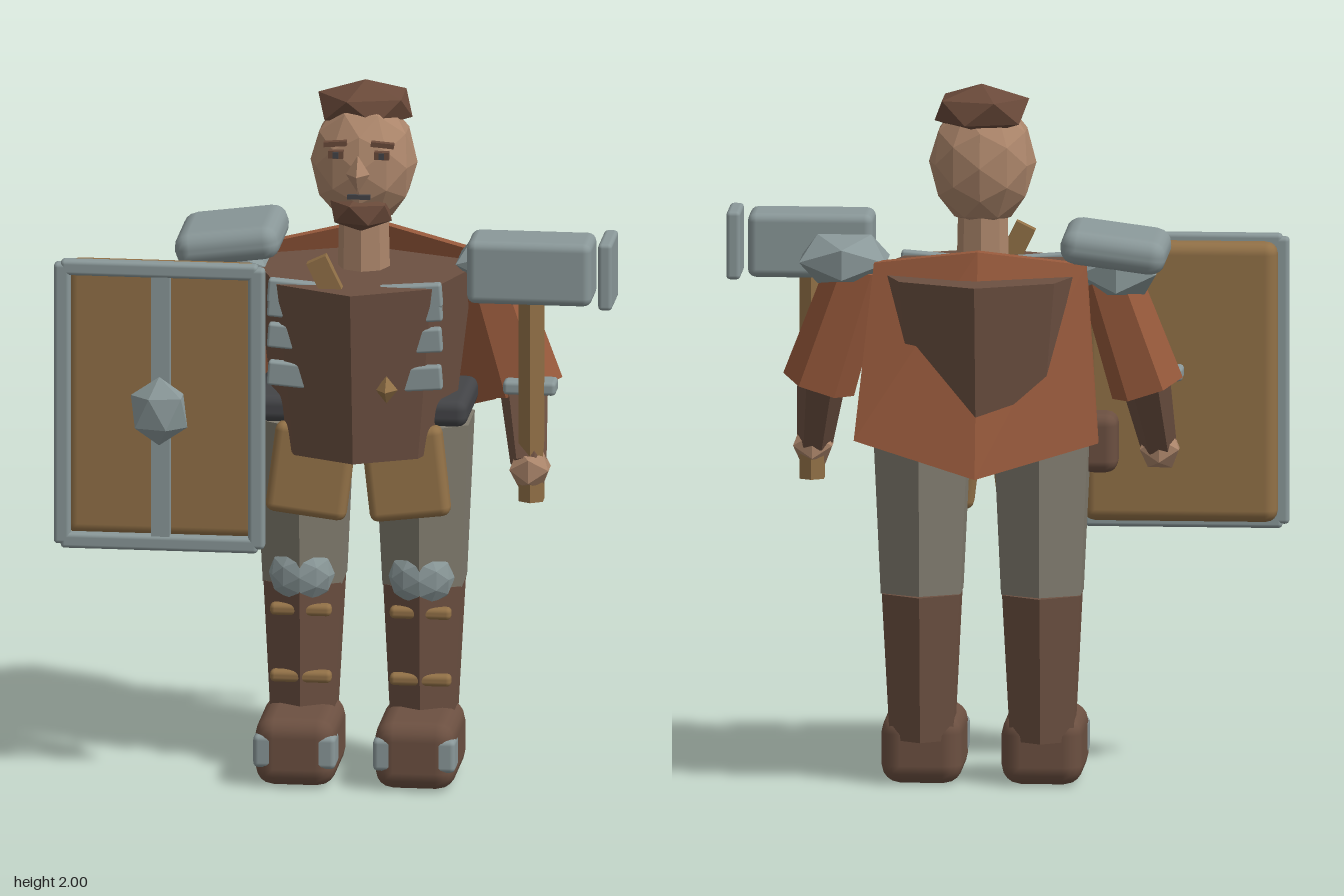
import * as THREE from 'three';
import { RoundedBoxGeometry } from 'three/addons/geometries/RoundedBoxGeometry.js';

const CX = 0.055; // body centre line

export function createModel() {
  const root = new THREE.Group();
  root.name = 'warrior';
  const mat = (name, color) => {
    const m = new THREE.MeshStandardMaterial({ color });
    m.name = name;
    return m;
  };
  const leather = mat('leather', 0x6c5041);
  const cloth = mat('rust cloth', 0x985a3c);
  const skin = mat('skin', 0xac866b);
  const hairMat = mat('hair', 0x6a4a3a);
  const steel = mat('steel', 0x8a9899);
  const trouser = mat('trouser cloth', 0x807b6e);
  const wood = mat('wood', 0x927147);
  const dark = mat('dark leather', 0x434447);

  const add = (name, geo, material, x, y, z) => {
    const mesh = new THREE.Mesh(geo, material);
    mesh.name = name;
    mesh.position.set(x, y, z);
    root.add(mesh);
    return mesh;
  };
  // faceted copy of a geometry
  const flat = (geo) => {
    const g = geo.index ? geo.toNonIndexed() : geo;
    g.computeVertexNormals();
    return g;
  };
  const rbox = (name, material, [w, h, d], [x, y, z], r = 0.015) =>
    add(name, new RoundedBoxGeometry(w, h, d, 2, Math.min(r, w / 2.1, h / 2.1, d / 2.1)), material, x, y, z);
  const box = (name, material, [w, h, d], [x, y, z]) =>
    add(name, new THREE.BoxGeometry(w, h, d), material, x, y, z);
  const gem = (name, material, [rx, ry, rz], [x, y, z], detail = 0, turn = 0) =>
    add(name, flat(new THREE.IcosahedronGeometry(1, detail).rotateZ(turn).scale(rx, ry, rz)), material, x, y, z);
  // tapered prism between two points
  const limb = (name, material, a, b, ra, rb, sides = 6) => {
    const from = new THREE.Vector3(...a), to = new THREE.Vector3(...b);
    const dir = to.clone().sub(from);
    const mid = from.clone().add(to).multiplyScalar(0.5);
    const mesh = add(name, flat(new THREE.CylinderGeometry(rb, ra, dir.length(), sides)), material, mid.x, mid.y, mid.z);
    mesh.quaternion.setFromUnitVectors(new THREE.Vector3(0, 1, 0), dir.normalize());
    return mesh;
  };

  // Torso and belt
  add('torso', flat(new THREE.CylinderGeometry(0.35, 0.28, 0.51, 8).scale(0.886, 1, 1)), leather, CX, 1.215, -0.01);
  rbox('belt', dark, [0.61, 0.08, 0.31], [CX, 1.07, -0.04], 0.03);
  rbox('hipPouch', leather, [0.11, 0.17, 0.12], [-0.27, 0.97, 0.05], 0.035);
  const scroll = box('chestScroll', wood, [0.06, 0.14, 0.035], [-0.02, 1.49, 0.25]);
  scroll.rotation.z = 0.45;
  add('buckle', flat(new THREE.OctahedronGeometry(0.04).scale(0.8, 1, 1)), wood, 0.15, 1.18, 0.265);

  // Cloak: a bent plate that flares down the back
  const cloak = new THREE.BoxGeometry(2, 1, 1, 2, 1, 1);
  const p = cloak.attributes.position;
  for (let i = 0; i < p.count; i++) {
    const s = p.getX(i), a = Math.abs(s), top = p.getY(i) > 0, k = p.getZ(i) * 0.035;
    if (top) p.setXYZ(i, s * 0.3, 1.55 - 0.05 * a, -0.2 + 0.1 * a + k);
    else p.setXYZ(i, s * 0.345, 0.92 + 0.1 * a, -0.325 + 0.05 * a + k);
  }
  add('cloak', flat(cloak), cloth, CX, 0, 0);

  // Head
  limb('neck', skin, [CX, 1.42, 0], [CX, 1.64, 0], 0.075, 0.07, 8);
  gem('head', skin, [0.152, 0.185, 0.138], [CX, 1.775, -0.005], 1);
  gem('hair', hairMat, [0.15, 0.073, 0.125], [CX, 1.93, -0.038], 0, 0.55);
  gem('beard', hairMat, [0.098, 0.06, 0.075], [CX, 1.648, 0.068], 0, 0.55);
  add('nose', flat(new THREE.OctahedronGeometry(1).scale(0.034, 0.055, 0.04)), skin, CX, 1.775, 0.148);
  box('mouth', dark, [0.065, 0.013, 0.012], [CX, 1.702, 0.122]);
  for (const s of [-1, 1]) {
    const brow = box('eyebrow', hairMat, [0.065, 0.014, 0.02], [CX + s * 0.067, 1.856, 0.121]);
    brow.rotation.z = s * -0.08;
    box('eye', hairMat, [0.042, 0.022, 0.02], [CX + s * 0.065, 1.825, 0.122]);
    box('pupil', dark, [0.016, 0.018, 0.008], [CX + s * 0.065, 1.825, 0.134]);
  }

  for (const s of [-1, 1]) {
    const x = CX + s * 0.17;
    // Chest lames
    for (const y of [1.44, 1.4, 1.31, 1.2]) {
      const lame = rbox('chestLame', steel, [0.225, 0.07, 0.035], [CX + s * 0.135, y, 0.215], 0.008);
      lame.rotation.z = s * 0.08;
    }
    // Hip guards
    const tasset = rbox('tasset', wood, [0.23, 0.26, 0.07], [CX + s * 0.135, 0.9, 0.125], 0.025);
    tasset.rotation.set(-0.08, 0, s * 0.12);
    // Legs
    limb('thigh', trouser, [x, 0.55, -0.025], [x, 1.03, -0.015], 0.13, 0.155);
    limb('bootShaft', leather, [x, 0.13, -0.01], [x, 0.55, -0.02], 0.103, 0.127);
    gem('kneeGuard', steel, [0.095, 0.09, 0.065], [x, 0.58, 0.05], 1);
    for (const y of [0.48, 0.285]) rbox('bootStrap', wood, [0.175, 0.035, 0.04], [x, y, 0.075], 0.014);
    rbox('boot', leather, [0.23, 0.2, 0.33], [x, 0.1, 0.085], 0.055);
    rbox('toeCap', steel, [0.234, 0.095, 0.095], [x, 0.105, 0.2], 0.015);
    // Arms
    limb('upperArm', cloth, [CX + s * 0.35, 1.48, -0.02], [CX + s * 0.465, 1.13, 0.01], 0.085, 0.105);
    limb('forearm', leather, [CX + s * 0.45, 1.2, 0.0], [CX + s * 0.485, 0.95, 0.15], 0.075, 0.052);
    gem('hand', skin, [0.065, 0.065, 0.06], [CX + s * 0.49, 0.935, 0.155]);
    rbox('bracer', steel, [0.15, 0.04, 0.08], [CX + s * 0.485, 1.16, 0.1], 0.012);
  }

  // Shoulder guards
  gem('leftPauldron', steel, [0.145, 0.082, 0.145], [0.445, 1.495, -0.02]);
  gem('rightPauldronBase', steel, [0.13, 0.09, 0.135], [-0.33, 1.47, -0.02]);
  const plate = rbox('rightPauldron', steel, [0.3, 0.1, 0.305], [-0.322, 1.54, -0.018], 0.045);
  plate.rotation.z = 0.13;

  // Hammer
  limb('hammerHandle', wood, [0.548, 0.84, 0.148], [0.548, 1.5, 0.148], 0.04, 0.04);
  rbox('hammerHead', steel, [0.355, 0.185, 0.16], [0.548, 1.515, 0.14], 0.025);
  rbox('hammerFace', steel, [0.04, 0.195, 0.17], [0.765, 1.515, 0.14], 0.012);

  // Shield
  rbox('shieldBoard', wood, [0.55, 0.8, 0.085], [-0.49, 1.12, 0.203], 0.035);
  for (const x of [-0.77, -0.218]) rbox('shieldSideRim', steel, [0.047, 0.82, 0.04], [x, 1.115, 0.266], 0.012);
  for (const y of [0.715, 1.512]) rbox('shieldEndRim', steel, [0.56, 0.045, 0.04], [-0.494, y, 0.266], 0.012);
  box('shieldBar', steel, [0.052, 0.77, 0.035], [-0.49, 1.115, 0.264]);
  gem('shieldBoss', steel, [0.09, 0.1, 0.058], [-0.49, 1.11, 0.312], 0, 0.55);

  return root;
}
